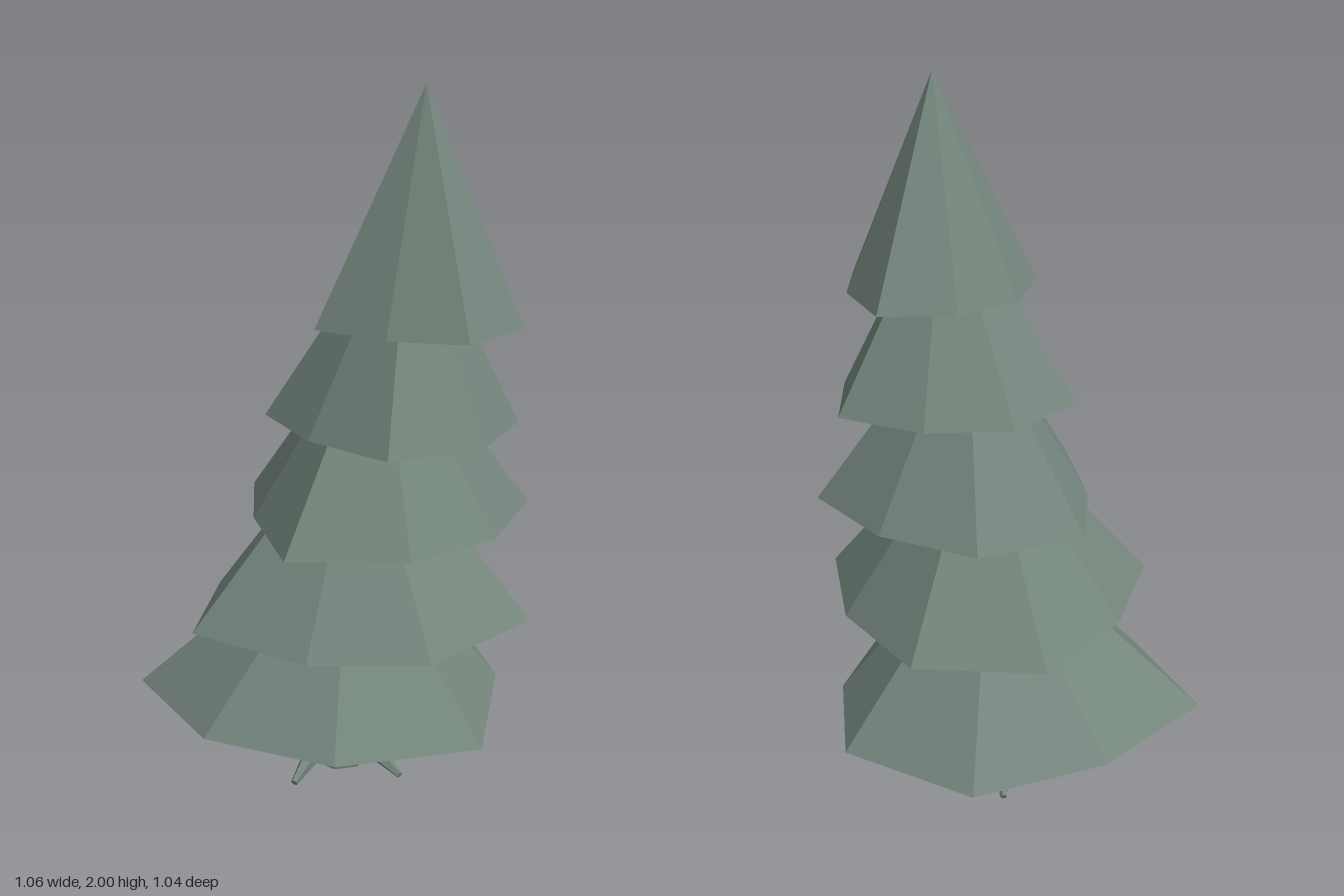
import * as THREE from 'three';

const foliage = new THREE.MeshStandardMaterial({ color: 0x74857c, flatShading: true });
foliage.name = 'dull green';

// Each tier: rim height, apex, and irregular rim corners [x, z] going round from the back via +x
const TIERS = [
  { y: 0.245, apex: [-0.02, 0.79, 0], rim: [[-0.06, -0.524], [0.24, -0.345], [0.51, 0.02], [0.3, 0.37], [-0.06, 0.52], [-0.46, 0.425], [-0.533, 0.02], [-0.44, -0.365]] },
  { y: 0.535, apex: [0.046, 1.125, 0.02], rim: [[-0.2, -0.396], [0.148, -0.382], [0.465, -0.22], [0.465, 0.175], [0.24, 0.413], [-0.12, 0.5], [-0.34, 0.215], [-0.44, -0.12]] },
  { y: 0.82, apex: [0.125, 1.41, 0.03], rim: [[0.03, -0.34], [0.34, -0.345], [0.465, -0.06], [0.42, 0.21], [0.19, 0.44], [-0.1, 0.29], [-0.31, 0.105], [-0.235, -0.2]] },
  { y: 1.11, apex: [0.22, 1.71, 0.02], rim: [[0.21, -0.345], [0.425, -0.19], [0.515, 0.05], [0.413, 0.29], [0.155, 0.32], [-0.09, 0.25], [-0.15, -0.01], [-0.02, -0.22]] },
  { y: 1.4, apex: [0.282, 2, 0.03], rim: [[0.145, -0.255], [0.365, -0.21], [0.52, -0.09], [0.53, 0.125], [0.36, 0.245], [0.155, 0.295], [0.02, 0.125], [0.02, -0.075]] },
];

// Closed cone over an irregular rim
function tierGeometry({ y, apex, rim }) {
  const positions = [];
  const cx = rim.reduce((s, p) => s + p[0], 0) / rim.length;
  const cz = rim.reduce((s, p) => s + p[1], 0) / rim.length;
  rim.forEach(([ax, az], i) => {
    const [bx, bz] = rim[(i + 1) % rim.length];
    positions.push(ax, y, az, ...apex, bx, y, bz);
    positions.push(ax, y, az, bx, y, bz, cx, y, cz);
  });
  const geometry = new THREE.BufferGeometry();
  geometry.setAttribute('position', new THREE.Float32BufferAttribute(positions, 3));
  geometry.computeVertexNormals();
  return geometry;
}

// Tapered limb running from one point to another
function limb(from, to, rFrom, rTo, sides) {
  const dir = to.clone().sub(from);
  const mesh = new THREE.Mesh(new THREE.CylinderGeometry(rTo, rFrom, dir.length(), sides), foliage);
  mesh.position.copy(from).addScaledVector(dir, 0.5);
  mesh.quaternion.setFromUnitVectors(new THREE.Vector3(0, 1, 0), dir.normalize());
  return mesh;
}

export function createModel() {
  const tree = new THREE.Group();
  tree.name = 'leaningTree';

  // Foliage tiers
  TIERS.forEach((tier, i) => {
    const mesh = new THREE.Mesh(tierGeometry(tier), foliage);
    mesh.name = `foliageTier${i + 1}`;
    tree.add(mesh);
  });

  // Leaning trunk
  const trunk = limb(new THREE.Vector3(-0.057, 0.023, 0.025), new THREE.Vector3(0.03, 0.42, 0.025), 0.096, 0.08, 8);
  trunk.name = 'trunk';
  tree.add(trunk);

  // Five pointed roots spread around the trunk
  const roots = new THREE.Group();
  roots.name = 'roots';
  for (let i = 0; i < 5; i++) {
    const a = (i * Math.PI * 2) / 5;
    const at = (r, y) => new THREE.Vector3(-0.05 + r * Math.cos(a), y, 0.025 + r * Math.sin(a));
    const root = limb(at(0.05, 0.125), at(0.258, 0.045), 0.044, 0.01, 5);
    root.name = `root${i + 1}`;
    roots.add(root);
  }
  tree.add(roots);

  return tree;
}
